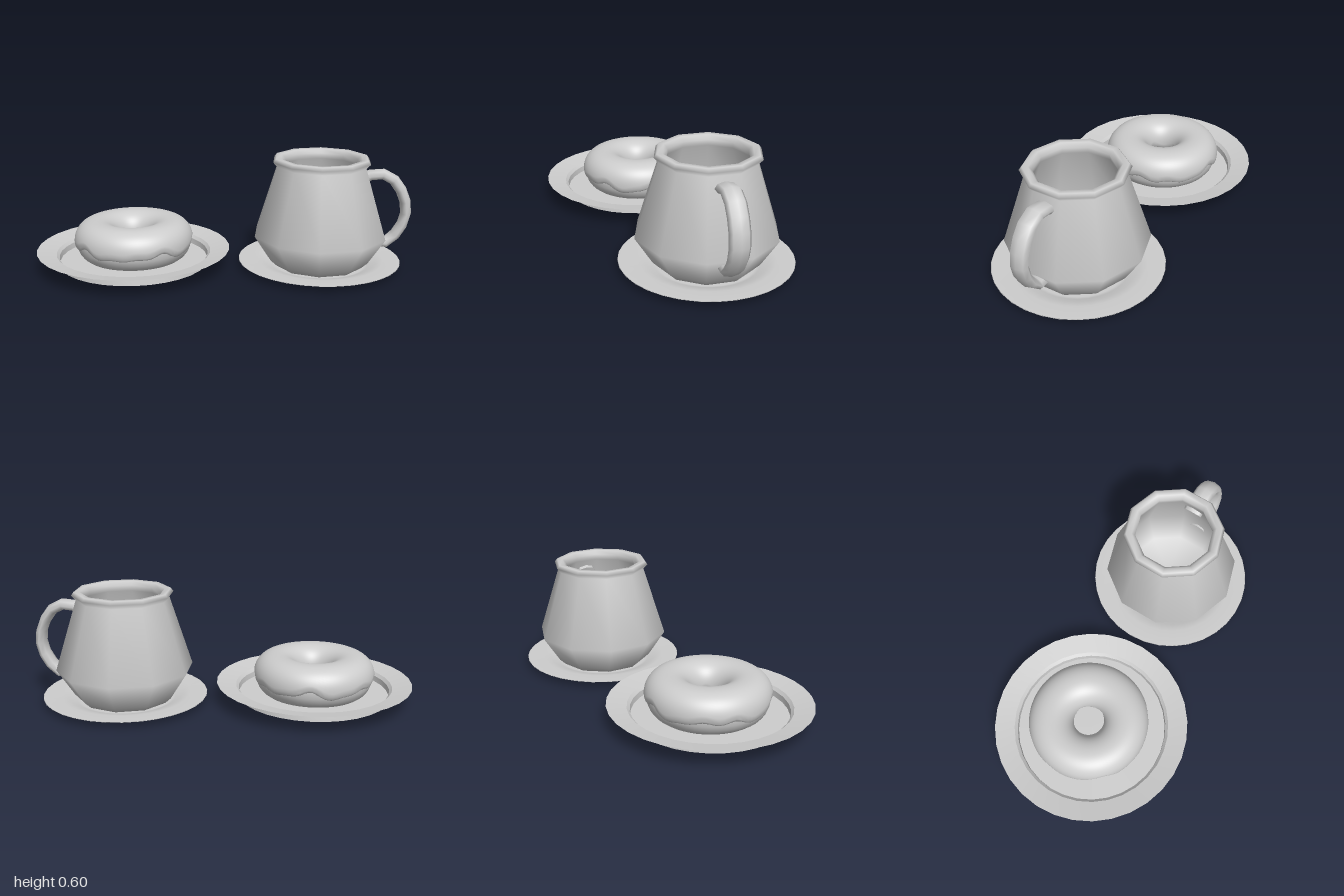
import * as THREE from 'three';
import { toCreasedNormals } from 'three/addons/utils/BufferGeometryUtils.js';
import { ParametricGeometry } from 'three/addons/geometries/ParametricGeometry.js';

const grey = new THREE.MeshStandardMaterial({ color: 0xcccccc });
grey.name = 'plain grey';

function part(name, geometry, parent) {
  const mesh = new THREE.Mesh(geometry, grey);
  mesh.name = name;
  parent.add(mesh);
  return mesh;
}

function lathe(points, sides) {
  return new THREE.LatheGeometry(points.map(([r, y]) => new THREE.Vector2(r, y)), sides);
}

// Ring surface with a slightly squared section; start and end give the
// section angles at each heading, swell pushes the skin outward.
function ring(start, end, swell, around, across) {
  const soft = (s) => Math.sign(s) * Math.abs(s) ** 0.9;
  return new ParametricGeometry((u, v, target) => {
    const heading = u * Math.PI * 2;
    const a = THREE.MathUtils.lerp(start(heading), end(heading), v);
    const d = swell(v);
    const r = 0.2 + (0.107 + d) * soft(Math.cos(a));
    const y = 0.144 + (0.104 + d) * soft(Math.sin(a));
    target.set(r * Math.cos(heading), y, -r * Math.sin(heading));
  }, around, across);
}

export function createModel() {
  const model = new THREE.Group();
  model.name = 'coffeeAndDonut';

  // Plate with a sloping flange and a sunken floor
  const donutSet = new THREE.Group();
  donutSet.name = 'donutOnPlate';
  donutSet.position.set(-0.48, 0, 0.012);
  model.add(donutSet);
  part('plate', toCreasedNormals(lathe([
    [0, 0.03], [0.405, 0.03], [0.4, 0.06], [0.415, 0.068], [0.518, 0.102],
    [0.415, 0.083], [0.4, 0.068], [0.397, 0.038], [0, 0.038],
  ], 32), 0.5), donutSet);

  // Donut dough and icing with a wavy, dripping edge
  const donut = new THREE.Group();
  donut.name = 'donut';
  donut.position.z = -0.012;
  donutSet.add(donut);
  part('dough', ring(() => 0, () => Math.PI * 2, () => 0, 48, 24), donut);
  const drip = (t) => -0.2 + 0.11 * Math.sin(5 * t + 0.6) + 0.08 * Math.sin(8 * t + 2) + 0.05 * Math.sin(13 * t);
  const innerEdge = (t) => Math.PI + 0.3 + 0.1 * Math.sin(4 * t);
  const lip = (v) => 0.014 * Math.sqrt(Math.min(1, Math.sin(Math.PI * v) * 4 + 1e-4)) - 0.002;
  part('icing', ring(drip, innerEdge, lip, 96, 32), donut);

  // Saucer: thin wide brim curving down to a flat foot
  const mugSet = new THREE.Group();
  mugSet.name = 'mugOnSaucer';
  mugSet.position.set(0.52, 0, -0.097);
  model.add(mugSet);
  part('saucer', lathe([
    [0, 0], [0.245, 0], [0.265, 0.005], [0.305, 0.024], [0.345, 0.032], [0.437, 0.034],
    [0.435, 0.036], [0.345, 0.035], [0.305, 0.029], [0.265, 0.011], [0.245, 0.007], [0, 0.007],
  ], 32), mugSet);

  // Ten-sided mug, outside then over the rolled rim and down the inside
  part('mugBody', lathe([
    [0, 0.01], [0.24, 0.01], [0.272, 0.04], [0.362, 0.18], [0.243, 0.555],
    [0.266, 0.58], [0.252, 0.598], [0.222, 0.597], [0.203, 0.575], [0.208, 0.545],
    [0.325, 0.18], [0.245, 0.06], [0, 0.05],
  ], 10), mugSet);

  // Flattened handle
  const path = new THREE.CatmullRomCurve3([
    [0.2, 0.48], [0.27, 0.51], [0.32, 0.514], [0.375, 0.49], [0.44, 0.39],
    [0.45, 0.28], [0.4, 0.18], [0.36, 0.142], [0.29, 0.145],
  ].map(([x, y]) => new THREE.Vector3(x, y, 0)));
  const handle = new THREE.TubeGeometry(path, 10, 0.029, 8);
  handle.scale(1, 1, 1.8);
  part('mugHandle', handle, mugSet);

  return model;
}
